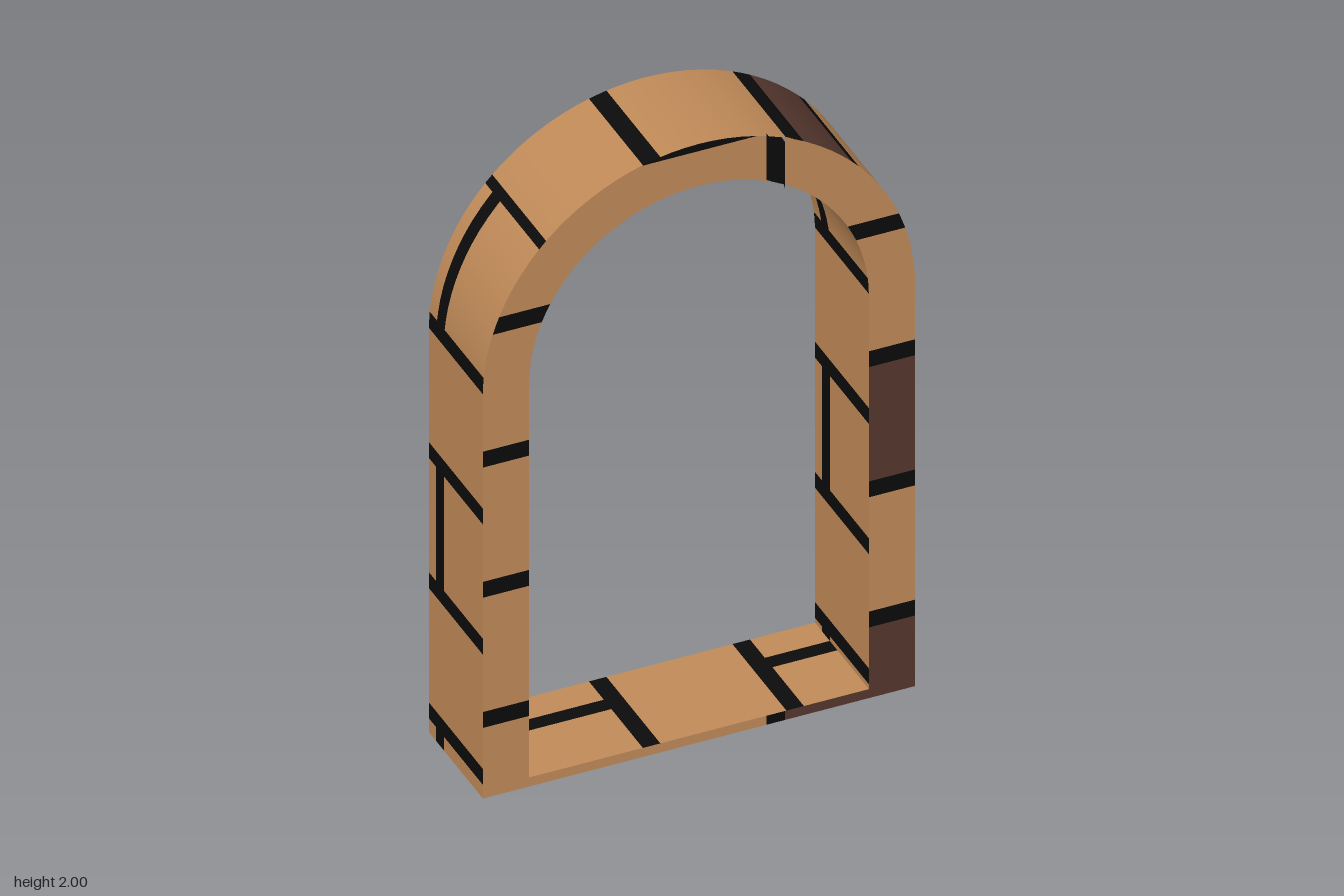
import * as THREE from 'three';

const HALF = 0.655, INNER = 0.515, CY = 1.345, DEPTH = 0.178, FLOOR = 0.03;
const PITCH = 0.435, JOINT = 0.053;      // brick course spacing and mortar width
const FACE0 = 0.236, SIDE0 = 0.046, TOP0 = 0.265;  // first mortar line on each projection

const materials = {
  brick: new THREE.MeshStandardMaterial({ color: 0xc08a58 }),
  darkBrick: new THREE.MeshStandardMaterial({ color: 0x56382f }),
  mortar: new THREE.MeshStandardMaterial({ color: 0x0b0b0b }),
};
for (const name in materials) materials[name].name = name;

const between = (v, a, b) => v > a && v < b;
const course = (v, start) => Math.floor((v - start) / PITCH);
const inMortar = (v, start) => v - start - PITCH * course(v, start) < JOINT;

// All mortar edges of one projection within a range
function edges(start, min, max) {
  const out = [];
  for (let k = -6; k < 6; k++) {
    for (const v of [start + k * PITCH, start + k * PITCH + JOINT]) if (between(v, min, max)) out.push(v);
  }
  return out;
}
const sorted = (list) => list.sort((a, b) => a - b).filter((v, i, a) => !i || v - a[i - 1] > 1e-6);

// Brick pattern on the front and back
function faceColour(back, x, y) {
  if (inMortar(y, FACE0)) return 'mortar';
  const row = course(y, FACE0) + 1;
  const joint = back ? -0.11 : 0.205;
  if (row % 2 === 0) {
    if (between(x, joint, joint + 0.055)) return 'mortar';
    if (row < 4 && x > joint) return 'darkBrick';
  } else if (back && (x < -0.63 || between(x, INNER, 0.535))) return 'mortar';
  return 'brick';
}

// Brick pattern on surfaces facing sideways
function sideColour(nx, y, z) {
  if (inMortar(y, SIDE0)) return 'mortar';
  const odd = course(y, SIDE0) % 2 !== 0;
  return odd && nx < 0 && between(z, -0.13, -0.08) ? 'mortar' : 'brick';
}

// Brick pattern on surfaces facing up or down
function levelColour(part, x, z) {
  if (inMortar(x, TOP0)) return 'mortar';
  const k = course(x, TOP0);
  if (part === 'floor' && k % 2 === 0 && between(z, -0.08, -0.03)) return 'mortar';
  if ((part === 'outerArch' && k === 0) || (part === 'innerArch' && k === -2)) return 'darkBrick';
  return 'brick';
}

// Collects quads by colour and turns them into meshes
class Surface {
  constructor() { this.sets = {}; }
  quad(colour, p, n) {
    const set = (this.sets[colour] ??= { pos: [], nor: [] });
    for (const tri of [[0, 1, 2], [0, 2, 3]]) {
      const [a, b, c] = tri.map((i) => new THREE.Vector3(...p[i]));
      const cross = b.sub(a).cross(c.sub(a));
      if (cross.length() < 1e-9) continue;
      const order = cross.dot(new THREE.Vector3(...n[0])) < 0 ? [tri[0], tri[2], tri[1]] : tri;
      for (const i of order) { set.pos.push(...p[i]); set.nor.push(...n[i]); }
    }
  }
  build(name) {
    const group = new THREE.Group();
    group.name = name;
    for (const [colour, { pos, nor }] of Object.entries(this.sets)) {
      if (!pos.length) continue;
      const g = new THREE.BufferGeometry();
      g.setAttribute('position', new THREE.Float32BufferAttribute(pos, 3));
      g.setAttribute('normal', new THREE.Float32BufferAttribute(nor, 3));
      const mesh = new THREE.Mesh(g, materials[colour]);
      mesh.name = `${name} ${colour}`;
      group.add(mesh);
    }
    return group;
  }
}

// Half width of an arched outline at height y
const halfWidth = (r, y) => (y <= CY ? r : Math.sqrt(Math.max(0, r * r - (y - CY) ** 2)));
const opening = (y) => (y <= FLOOR ? 0 : halfWidth(INNER, y));

// Flat front or back: horizontal strips from the opening to the outline
function archFace(back) {
  const s = new Surface();
  const z = back ? -DEPTH : DEPTH, n = Array(4).fill([0, 0, back ? -1 : 1]);
  const ys = [0, FLOOR, FLOOR + 1e-5, CY, ...edges(FACE0, 0, 2)];
  for (let i = 1; i <= 24; i++) {
    const t = Math.sin((i / 24) * Math.PI / 2);
    ys.push(CY + HALF * t, CY + INNER * t);
  }
  const rows = sorted(ys);
  const xs = back ? [-1, -0.63, -0.11, -0.055, 0.535, 1] : [-1, 0.205, 0.26, 1];
  for (let i = 0; i + 1 < rows.length; i++) {
    const y0 = rows[i], y1 = rows[i + 1];
    for (const side of [-1, 1]) {
      for (let j = 0; j + 1 < xs.length; j++) {
        const cut = (x) => Math.min(xs[j + 1], Math.max(xs[j], x * side));
        const p = [[cut(opening(y0)), y0, z], [cut(halfWidth(HALF, y0)), y0, z],
          [cut(halfWidth(HALF, y1)), y1, z], [cut(opening(y1)), y1, z]];
        const midX = p.reduce((sum, q) => sum + q[0] / 4, 0);
        s.quad(faceColour(back, midX, (y0 + y1) / 2), p, n);
      }
    }
  }
  return s.build(back ? 'backFace' : 'frontFace');
}

// Sweeps a path of points with normals through the depth
function sweep(s, path, colourAt) {
  const zs = [-DEPTH, -0.13, -0.08, -0.03, DEPTH];
  for (let i = 0; i + 1 < path.length; i++) {
    const a = path[i], b = path[i + 1];
    for (let j = 0; j + 1 < zs.length; j++) {
      const z0 = zs[j], z1 = zs[j + 1];
      const na = [a.nx, a.ny, 0], nb = [b.nx, b.ny, 0];
      const colour = colourAt((a.x + b.x) / 2, (a.y + b.y) / 2, (z0 + z1) / 2, a.nx + b.nx, a.ny + b.ny);
      s.quad(colour, [[a.x, a.y, z0], [b.x, b.y, z0], [b.x, b.y, z1], [a.x, a.y, z1]], [na, nb, nb, na]);
    }
  }
}

// Columns and rounded top; facing is 1 outside and -1 inside
function archBand(name, r, y0, facing) {
  const s = new Surface();
  const column = sorted([y0, CY, ...edges(SIDE0, y0, CY)]);
  const angles = [Math.PI / 4, Math.PI * 3 / 4];
  for (let i = 0; i <= 48; i++) angles.push((i / 48) * Math.PI);
  for (const y of edges(SIDE0, CY, CY + r)) {
    const t = Math.asin((y - CY) / r);
    angles.push(t, Math.PI - t);
  }
  for (const x of edges(TOP0, -r, r)) angles.push(Math.acos(x / r));
  const arc = sorted(angles).map((t) => ({
    x: r * Math.cos(t), y: CY + r * Math.sin(t), nx: facing * Math.cos(t), ny: facing * Math.sin(t),
  }));
  const colourAt = (x, y, z, nx, ny) => (Math.abs(nx) > Math.abs(ny)
    ? sideColour(nx, y, z) : levelColour(name, x, z));
  for (const side of [-1, 1]) {
    sweep(s, column.map((y) => ({ x: side * r, y, nx: side * facing, ny: 0 })), colourAt);
  }
  sweep(s, arc, colourAt);
  return s.build(name);
}

// Sill top and underside
function level(name, r, y, ny) {
  const s = new Surface();
  const path = sorted([-r, r, ...edges(TOP0, -r, r)]).map((x) => ({ x, y, nx: 0, ny }));
  sweep(s, path, (x, _y, z) => levelColour(name, x, z));
  return s.build(name);
}

export function createModel() {
  const model = new THREE.Group();
  model.name = 'brickArch';
  model.add(
    archFace(false),
    archFace(true),
    archBand('outerArch', HALF, 0, 1),
    archBand('innerArch', INNER, FLOOR, -1),
    level('floor', INNER, FLOOR, 1),
    level('underside', HALF, 0, -1),
  );
  return model;
}
